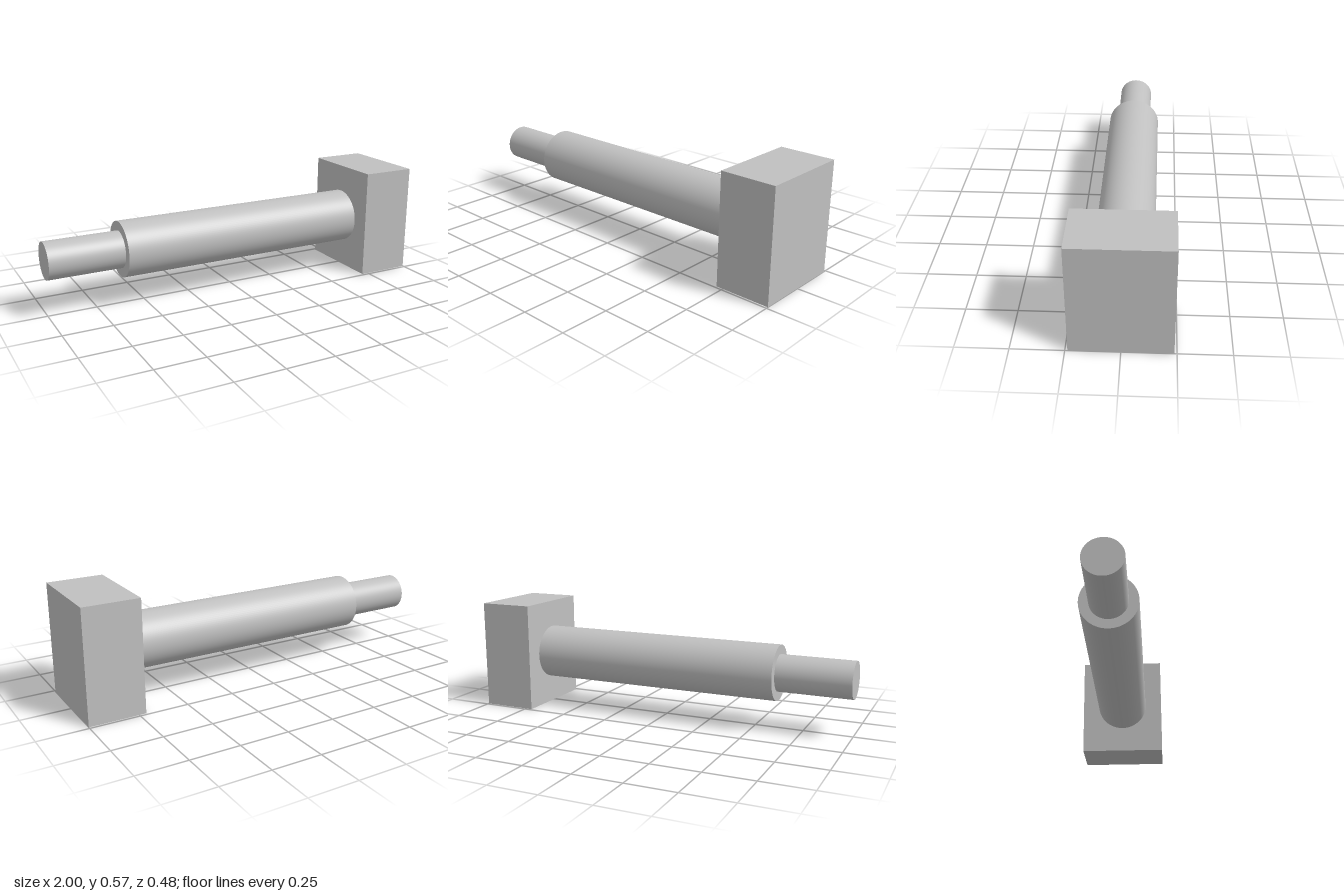
import * as THREE from 'three';

export function createModel() {
  const group = new THREE.Group();
  const grey = new THREE.MeshStandardMaterial({ color: 0xc0c0c0 });
  grey.name = 'light grey';
  const axisY = 0.286;

  function add(name, geometry, x) {
    const mesh = new THREE.Mesh(geometry, grey);
    mesh.name = name;
    mesh.position.set(x, axisY, 0);
    group.add(mesh);
  }

  // Round bar along x between two stations
  function bar(name, radius, x0, x1) {
    const geometry = new THREE.CylinderGeometry(radius, radius, x1 - x0, 96);
    geometry.rotateZ(Math.PI / 2);
    add(name, geometry, (x0 + x1) / 2);
  }

  // Rectangular head block
  add('head', new THREE.BoxGeometry(0.286, 0.572, 0.476), 0.857);
  // Main shaft and its stepped-down end
  bar('shaft', 0.143, -0.619, 0.714);
  bar('tip', 0.095, -1, -0.619);

  return group;
}
